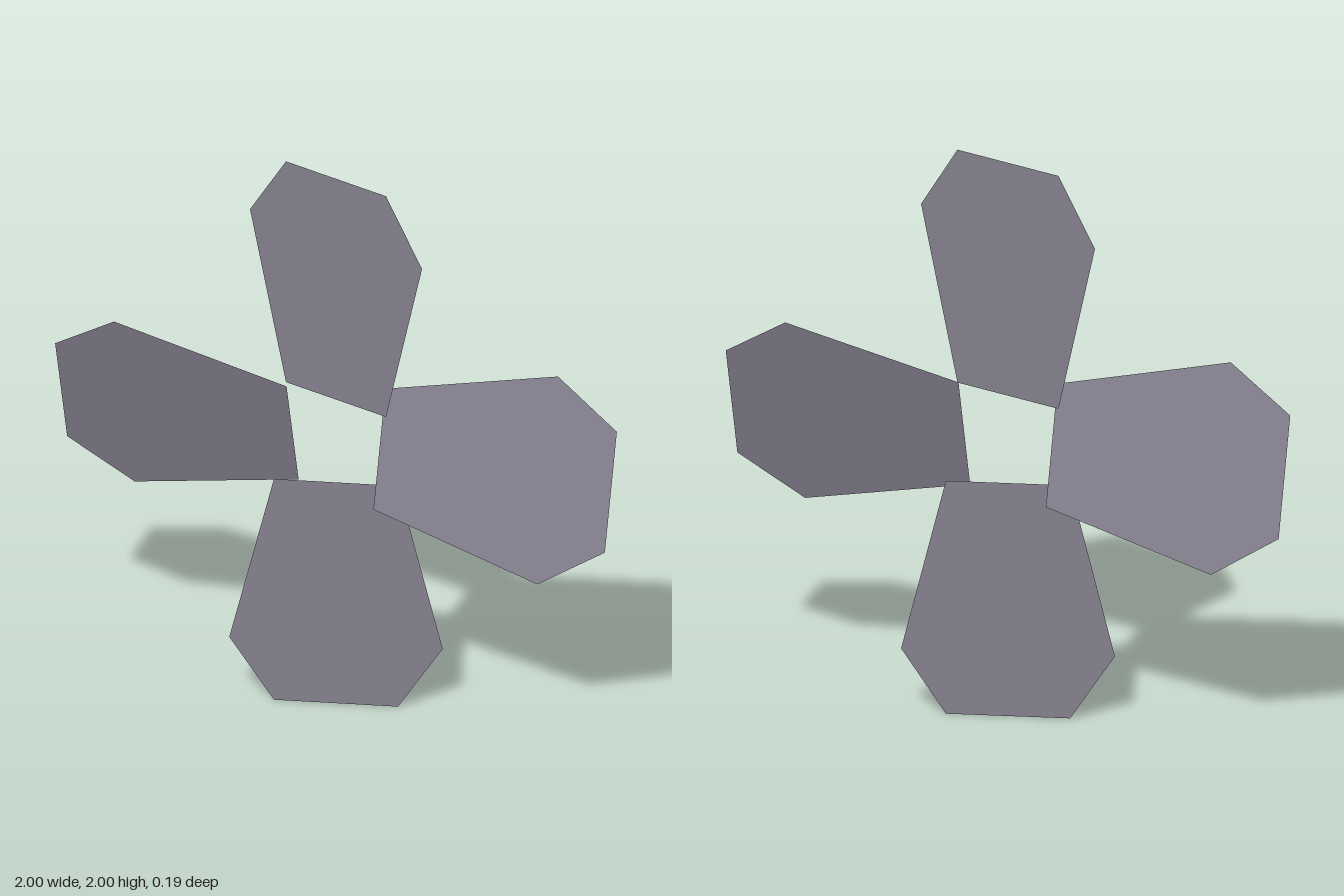
import * as THREE from 'three';

// Four pitched, flat propeller blades around an open centre.
export function createModel() {
  const model = new THREE.Group();
  model.name = 'propeller';
  const bladeGrey = new THREE.MeshStandardMaterial({ color: 0x85808f, side: THREE.DoubleSide, flatShading: true });
  bladeGrey.name = 'bladeGrey';

  // Blade outline: narrow root, wide shoulder, clipped tip
  const tip = 1, shoulder = 0.77, root = 0.158, narrow = 0.211, wide = 0.363;
  const outline = new THREE.Shape([
    [-narrow, root], [narrow, root], [wide, shoulder],
    [narrow, tip], [-narrow, tip], [-wide, shoulder],
  ].map(([x, y]) => new THREE.Vector2(x, y)));

  // Pitch the blade about its own length, right edge forward
  const geometry = new THREE.ShapeGeometry(outline);
  geometry.rotateY(-THREE.MathUtils.degToRad(15));

  ['topBlade', 'rightBlade', 'bottomBlade', 'leftBlade'].forEach((name, i) => {
    const blade = new THREE.Mesh(geometry, bladeGrey);
    blade.name = name;
    blade.position.y = 1;
    blade.rotation.z = i * Math.PI / 2;
    model.add(blade);
  });
  // Left and right are the model's own: +x is its left
  model.children[1].name = 'rightBlade';
  model.children[3].name = 'leftBlade';
  return model;
}
